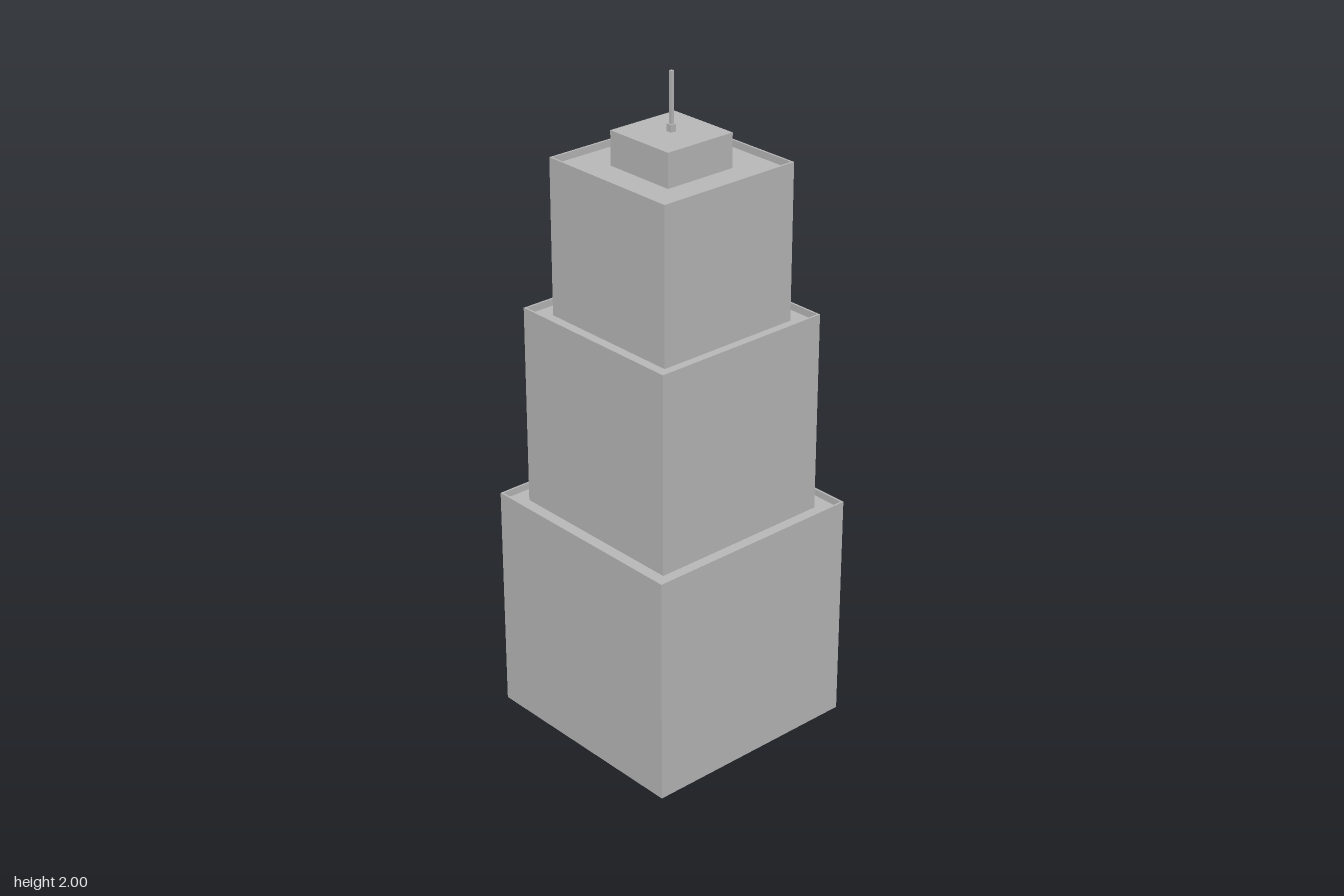
import * as THREE from 'three';

const RIM = 0.006;        // parapet thickness
const RIM_HEIGHT = 0.021; // parapet height above the roof

function square(path, h) {
  path.moveTo(-h, -h);
  path.lineTo(h, -h);
  path.lineTo(h, h);
  path.lineTo(-h, h);
  path.closePath();
  return path;
}

export function createModel() {
  const model = new THREE.Group();
  model.name = 'steppedTower';
  const concrete = new THREE.MeshStandardMaterial({ color: 0xb8b8b8 });
  concrete.name = 'concreteGrey';

  const add = (name, geometry, y, parent = model) => {
    const mesh = new THREE.Mesh(geometry, concrete);
    mesh.name = name;
    mesh.position.y = y;
    parent.add(mesh);
  };

  // Square block of half width h between two heights
  const block = (name, h, y0, y1, parent) =>
    add(name, new THREE.BoxGeometry(2 * h, y1 - y0, 2 * h), (y0 + y1) / 2, parent);

  // Three stepped tiers, each with a thin parapet around its roof
  const tiers = [
    ['lowerTier', 0.352, 0.705],
    ['middleTier', 0.293, 1.297],
    ['upperTier', 0.235, 1.747],
  ];
  let base = 0;
  for (const [name, h, top] of tiers) {
    const tier = new THREE.Group();
    tier.name = name;
    model.add(tier);
    const roof = top - RIM_HEIGHT;
    block(name + 'Body', h, base, roof, tier);

    const frame = square(new THREE.Shape(), h);
    frame.holes.push(square(new THREE.Path(), h - RIM));
    const rim = new THREE.ExtrudeGeometry(frame, { depth: RIM_HEIGHT, bevelEnabled: false });
    rim.rotateX(-Math.PI / 2);
    add(name + 'Parapet', rim, roof, tier);
    base = roof;
  }

  // Rooftop plant room and antenna
  block('penthouse', 0.117, base, 1.828, model);
  block('antennaBase', 0.009, 1.828, 1.85, model);
  block('antennaMast', 0.0045, 1.85, 2, model);

  return model;
}
